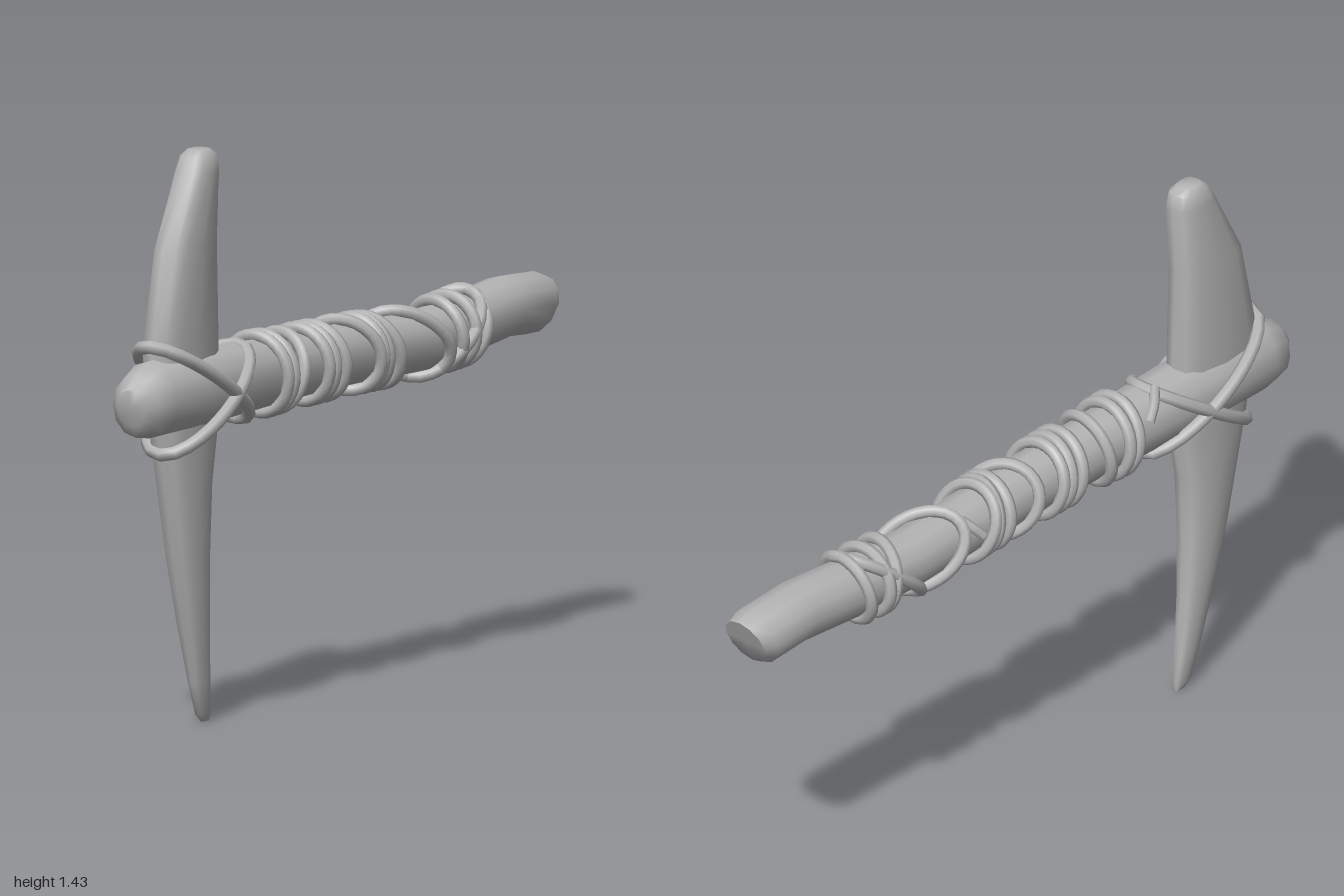
import * as THREE from 'three';
import { toCreasedNormals } from 'three/addons/utils/BufferGeometryUtils.js';

const grey = new THREE.MeshStandardMaterial({ color: 0xb4b4b4 });
grey.name = 'grey';

// Skin a list of rings (equal point counts) and close both ends.
function loft(rings, crease) {
  const n = rings[0].length, pos = [], idx = [];
  rings.forEach((r) => r.forEach((p) => pos.push(p.x, p.y, p.z)));
  const last = rings.length - 1;
  for (let k = 0; k < last; k++) {
    for (let i = 0; i < n; i++) {
      const a = k * n + i, b = k * n + ((i + 1) % n);
      idx.push(a, a + n, b, b, a + n, b + n);
    }
  }
  [0, last].forEach((k) => {
    const c = new THREE.Vector3();
    rings[k].forEach((p) => c.addScaledVector(p, 1 / n));
    const ci = pos.length / 3;
    pos.push(c.x, c.y, c.z);
    for (let i = 0; i < n; i++) {
      const a = k * n + i, b = k * n + ((i + 1) % n);
      if (k === 0) idx.push(ci, a, b);
      else idx.push(ci, b, a);
    }
  });
  const g = new THREE.BufferGeometry();
  g.setAttribute('position', new THREE.Float32BufferAttribute(pos, 3));
  g.setIndex(idx);
  return toCreasedNormals(g, crease);
}

function ring(n, fn) {
  return Array.from({ length: n }, (_, i) => fn((i / n) * Math.PI * 2));
}

// Handle sections: z, centre x, bottom y, top y, half width, slant
const handleSections = [
  [0.99, 0, 0.78, 0.875, 0.04, 0.01],
  [0.965, 0, 0.752, 0.91, 0.066, 0],
  [0.9, 0, 0.742, 0.935, 0.084, 0],
  [0.68, 0, 0.742, 0.935, 0.09, 0],
  [0.5, 0, 0.745, 0.93, 0.084, 0],
  [0.3, 0, 0.75, 0.918, 0.077, 0],
  [0, -0.003, 0.75, 0.91, 0.076, 0],
  [-0.38, -0.005, 0.738, 0.89, 0.076, 0],
  [-0.6, -0.008, 0.75, 0.905, 0.077, 0],
  [-0.8, -0.01, 0.77, 0.924, 0.079, 0],
  [-0.94, -0.01, 0.762, 0.915, 0.079, -0.02],
  [-0.975, -0.01, 0.775, 0.902, 0.064, -0.025],
];

function handleAt(z) {
  let i = 0;
  while (i < handleSections.length - 2 && handleSections[i + 1][0] > z) i++;
  const a = handleSections[i], b = handleSections[i + 1];
  const t = (a[0] - z) / (a[0] - b[0]);
  return a.map((v, k) => v + (b[k] - v) * t);
}

function onHandle(a, z, gap) {
  const [, cx, y0, y1, rx] = handleAt(z);
  return new THREE.Vector3(
    cx + (rx + gap) * Math.cos(a),
    (y0 + y1) / 2 + ((y1 - y0) / 2 + gap) * Math.sin(a),
    z
  );
}

// Blade sections, bottom to top: y, back z, front z, half width, centre x
const bladeSections = [
  [0.0, 0.608, 0.64, 0.006, -0.006],
  [0.02, 0.605, 0.66, 0.013, -0.006],
  [0.1, 0.615, 0.69, 0.02, -0.005],
  [0.25, 0.63, 0.735, 0.032, -0.004],
  [0.42, 0.637, 0.782, 0.041, -0.003],
  [0.6, 0.63, 0.822, 0.047, -0.003],
  [0.72, 0.605, 0.85, 0.05, -0.004],
  [0.95, 0.597, 0.885, 0.054, -0.006],
  [1.2, 0.609, 0.83, 0.051, -0.004],
  [1.38, 0.6, 0.735, 0.045, -0.003],
  [1.42, 0.607, 0.712, 0.038, -0.003],
  [1.435, 0.63, 0.69, 0.024, -0.003],
];

// Bindings: z over the top, z underneath, sideways lean
const bindings = [
  [0.395, 0.37, 0],
  [0.36, 0.345, 0],
  [0.275, 0.31, 0.01],
  [0.19, 0.165, 0],
  [0.155, 0.13, 0.005],
  [0.12, 0.085, -0.005],
  [-0.005, -0.055, -0.045],
  [-0.08, -0.1, 0],
  [-0.105, -0.14, 0.01],
  [-0.125, -0.19, -0.01],
  [-0.28, -0.39, -0.07],
  [-0.61, -0.38, -0.03],
  [-0.475, -0.51, 0.02],
  [-0.535, -0.535, 0],
  [-0.615, -0.58, 0.01],
];

export function createModel() {
  const model = new THREE.Group();
  const add = (name, geometry) => {
    const m = new THREE.Mesh(geometry, grey);
    m.name = name;
    model.add(m);
  };
  const rope = (name, points, closed, radius = 0.016) => {
    const curve = new THREE.CatmullRomCurve3(points, closed);
    add(name, new THREE.TubeGeometry(curve, closed ? 28 : 10, radius, 7, closed));
  };

  // Bent wooden handle with a blunt knob and a slanted butt
  add('handle', loft(handleSections.map(([z, cx, y0, y1, rx, slant]) => ring(12, (a) =>
    new THREE.Vector3(
      cx + rx * Math.cos(a),
      (y0 + y1) / 2 + ((y1 - y0) / 2) * Math.sin(a),
      z + slant * Math.sin(a)
    ))), 1.0));

  // Double-ended blade passing through the head, with a slightly squared section
  const soft = (v) => Math.sign(v) * Math.pow(Math.abs(v), 0.75);
  add('blade', loft(bladeSections.map(([y, zb, zf, rx, cx]) => ring(12, (a) =>
    new THREE.Vector3(
      cx + rx * soft(Math.cos(a)),
      y,
      (zb + zf) / 2 + ((zf - zb) / 2) * soft(Math.sin(a))
    ))), 0.9));

  // Rope turns along the handle
  bindings.forEach(([zt, zb, lean], i) => {
    rope('handleBinding' + (i + 1), ring(14, (a) =>
      onHandle(a, (zt + zb) / 2 + ((zt - zb) / 2) * Math.sin(a) + lean * Math.cos(a), 0.011)), true);
  });

  // Two crossing loops that lash the blade to the head: top y/z, bottom y/z
  [
    [0.97, 0.895, 0.738, 0.48],
    [0.925, 0.485, 0.693, 0.845],
  ].forEach(([yt, zt, yb, zb], i) => {
    rope('headLashing' + (i + 1), ring(14, (a) => new THREE.Vector3(
      0.1 * Math.cos(a),
      (yt + yb) / 2 + ((yt - yb) / 2) * Math.sin(a),
      (zt + zb) / 2 + ((zt - zb) / 2) * Math.sin(a)
    )), true, 0.017);
  });

  // Loose rope ends
  [
    [Math.PI * 0.95, -0.2, -0.24],
    [Math.PI * 0.85, 0.42, 0.5],
  ].forEach(([a, z0, z1], i) => {
    rope('ropeEnd' + (i + 1), [
      onHandle(a, z0, 0.02), onHandle(a - 0.3, (z0 + z1) / 2, 0.014), onHandle(a - 0.7, z1, 0.008),
    ], false, 0.013);
  });

  return model;
}
